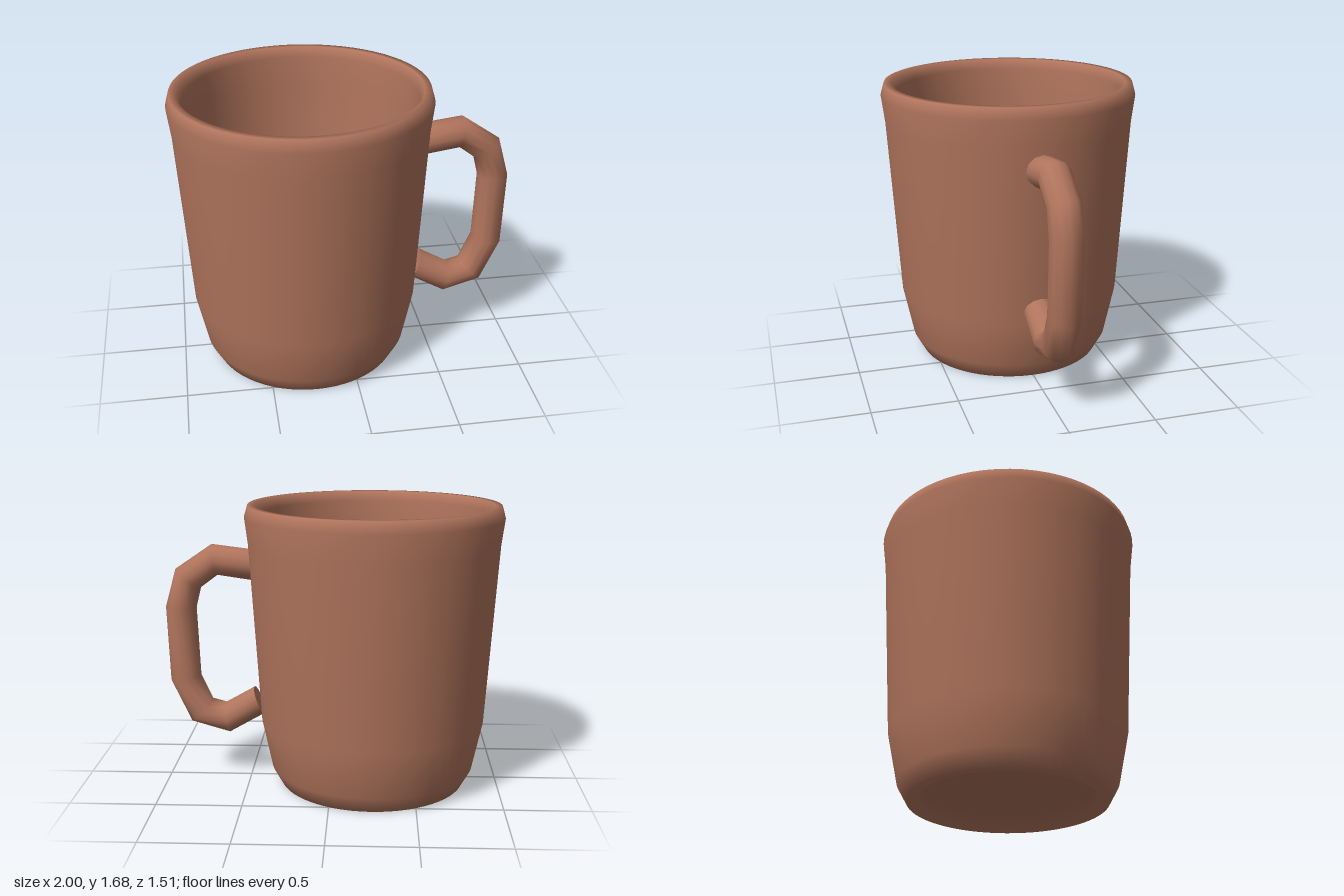
import * as THREE from 'three';

const clay = new THREE.MeshStandardMaterial({ color: 0xb0745c, side: THREE.DoubleSide });

// Hollow cup turned from one closed profile: underside, outer wall, rim, inner wall, floor
function makeCup() {
  const profile = [
    [0, 0.08], [0.47, 0.08], [0.495, 0.01],
    [0.555, 0], [0.61, 0.1], [0.67, 0.39], [0.735, 1.45],
    [0.755, 1.61], [0.735, 1.68], [0.695, 1.68], [0.67, 1.62],
    [0.672, 1.45], [0.61, 0.42], [0.55, 0.17], [0, 0.15],
  ].map(([r, y]) => new THREE.Vector2(r, y));
  const cup = new THREE.Mesh(new THREE.LatheGeometry(profile, 64), clay);
  cup.name = 'cup';
  cup.position.x = -0.245;
  return cup;
}

// Angular handle: mitred rings, each spanning an outer and an inner corner
function makeHandle() {
  const sides = 12, halfDepth = 0.095;
  const corners = [ // outer x, y, inner x, y
    [0.43, 1.405, 0.44, 1.22], [0.71, 1.44, 0.68, 1.255],
    [0.93, 1.29, 0.78, 1.18], [0.995, 1.06, 0.81, 1.06],
    [0.98, 0.61, 0.795, 0.64], [0.86, 0.35, 0.725, 0.485],
    [0.62, 0.28, 0.65, 0.465], [0.41, 0.4, 0.475, 0.565],
  ];
  const positions = [], index = [];
  const addRing = ([ox, oy, ix, iy], scale = 1) => {
    for (let j = 0; j < sides; j++) {
      const a = (j / sides) * Math.PI * 2, c = Math.cos(a) * scale / 2;
      positions.push((ox + ix) / 2 + c * (ox - ix), (oy + iy) / 2 + c * (oy - iy),
        Math.sin(a) * halfDepth * scale);
    }
  };
  const join = (r) => {
    for (let j = 0; j < sides; j++) {
      const a = r * sides + j, b = r * sides + (j + 1) % sides;
      index.push(a, a + sides, b, b, a + sides, b + sides);
    }
  };
  const first = corners[0], last = corners[corners.length - 1];
  // Flat end caps use their own rings so the edges stay sharp
  const rings = [[first, 0], [first, 1], ...corners.map((c) => [c, 1]), [last, 1], [last, 0]];
  rings.forEach(([c, s]) => addRing(c, s));
  for (let r = 0; r < rings.length - 1; r++) {
    if (r !== 1 && r !== rings.length - 3) join(r);
  }

  const geometry = new THREE.BufferGeometry();
  geometry.setAttribute('position', new THREE.Float32BufferAttribute(positions, 3));
  geometry.setIndex(index);
  geometry.computeVertexNormals();
  const handle = new THREE.Mesh(geometry, clay);
  handle.name = 'handle';
  return handle;
}

export function createModel() {
  const mug = new THREE.Group();
  mug.name = 'mug';
  mug.add(makeCup(), makeHandle());
  return mug;
}
